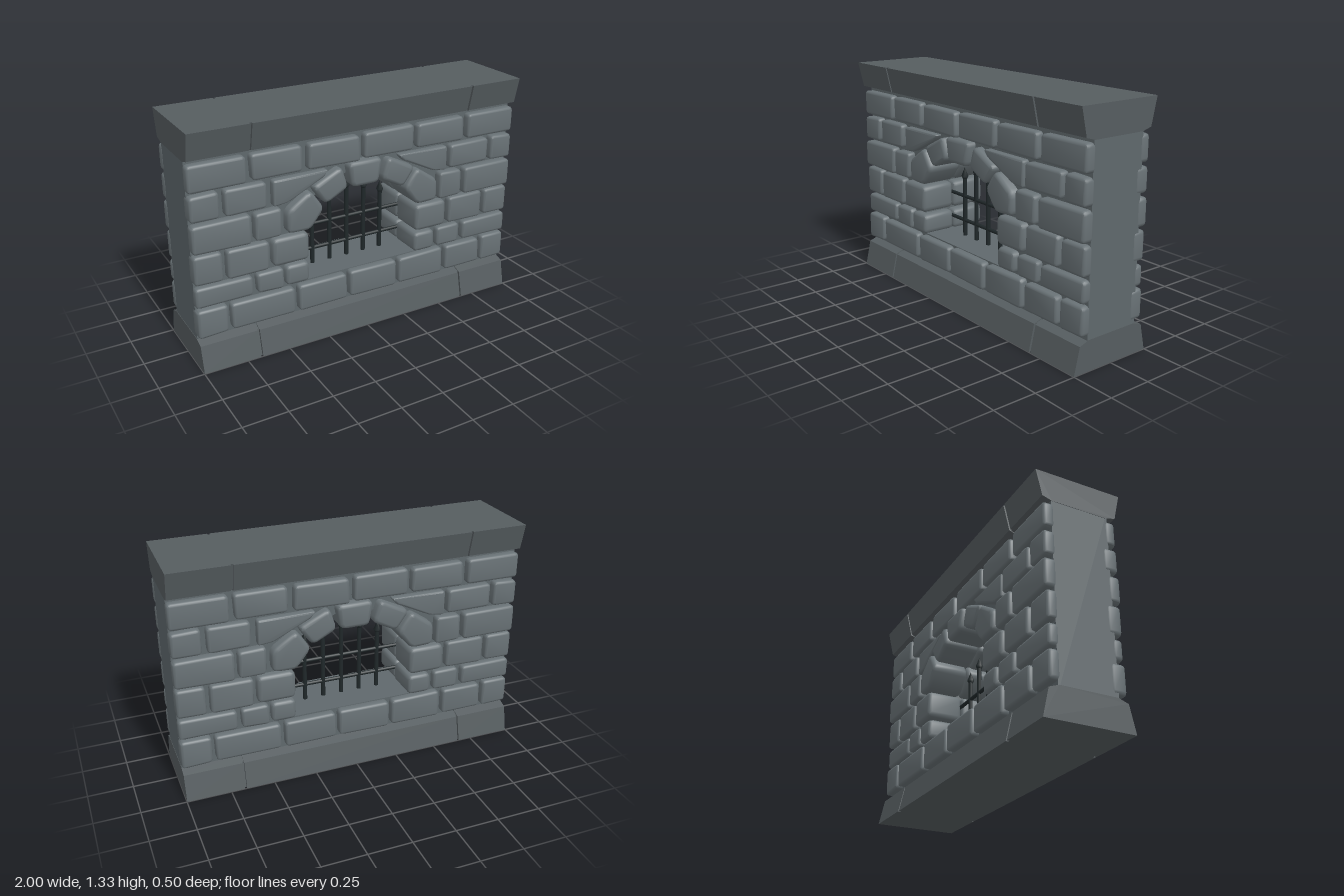
import * as THREE from 'three';
import { toCreasedNormals } from 'three/addons/utils/BufferGeometryUtils.js';

const material = (color) => new THREE.MeshStandardMaterial({ color });
const stoneMat = material(0x697276);
const wallMat = material(0x5f686c);
const trimMat = material(0x565d60);
const ironMat = material(0x20282a);

// Small seeded generator for the hand-cut look
function makeRandom(seed) {
  return () => {
    seed = (seed * 16807) % 2147483647;
    return seed / 2147483647 - 0.5;
  };
}

// Polygon outline with softened corners
function roundedShape(points, radius) {
  const pts = points.map(([x, y]) => new THREE.Vector2(x, y));
  const shape = new THREE.Shape();
  pts.forEach((p, i) => {
    const prev = pts[(i + pts.length - 1) % pts.length];
    const next = pts[(i + 1) % pts.length];
    const toward = (q) => p.clone().lerp(q, Math.min(0.4, radius / p.distanceTo(q)));
    const a = toward(prev), b = toward(next);
    if (i === 0) shape.moveTo(a.x, a.y);
    else shape.lineTo(a.x, a.y);
    shape.quadraticCurveTo(p.x, p.y, b.x, b.y);
  });
  shape.closePath();
  return shape;
}

// Stone block with bevelled edges, running from zBack to zFront
function stone(name, points, zBack, zFront, bevel = 0.014) {
  const geo = new THREE.ExtrudeGeometry(roundedShape(points, bevel * 1.6), {
    depth: zFront - zBack - 2 * bevel,
    bevelThickness: bevel, bevelSize: bevel, bevelOffset: -bevel,
    bevelSegments: 2, curveSegments: 3,
  });
  geo.translate(0, 0, zBack + bevel);
  const mesh = new THREE.Mesh(toCreasedNormals(geo, 0.85), stoneMat);
  mesh.name = name;
  return mesh;
}

// Courses of brick: bottom, top, face depth, then [left, right] of each brick
const COURSES = [
  [0.19, 0.347, 0.21, [[-1, -0.83], [-0.81, -0.435], [-0.41, -0.11], [-0.09, 0.215], [0.24, 0.54], [0.565, 0.815], [0.835, 1]]],
  [0.365, 0.48, 0.207, [[-1, -0.675], [-0.655, -0.5], [0.505, 0.66], [0.685, 1]]],
  [0.5, 0.66, 0.21, [[-1, -0.84], [-0.815, -0.58], [0.575, 0.81], [0.835, 1]]],
  [0.675, 0.833, 0.22, [[-1, -0.675], [-0.655, -0.505], [0.495, 0.65], [0.675, 1]]],
  [0.85, 0.992, 0.212, [[-1, -0.84], [-0.815, -0.58], [0.565, 0.83], [0.855, 1]]],
  [1.01, 1.153, 0.21, [[-1, -0.685], [-0.66, -0.37], [-0.34, -0.03], [0, 0.31], [0.335, 0.65], [0.68, 1]]],
];

function stoneFace() {
  const face = new THREE.Group();
  const random = makeRandom(41);
  COURSES.forEach(([y0, y1, z, spans]) => {
    spans.forEach(([x0, x1]) => {
      const corners = [[x0, y0], [x1, y0], [x1, y1], [x0, y1]].map(([x, y]) => [
        Math.abs(x) === 1 ? x : x + random() * 0.008,
        y + random() * 0.008,
      ]);
      // Short bricks at the left end reach around the corner
      const corner = x0 === -1 && x1 < -0.8;
      face.add(stone('brick', corners, corner ? 0.13 : 0.15, z + random() * 0.006));
    });
  });

  // Jamb stones beside the opening
  const box = (x0, x1, y0, y1) => [[x0, y0], [x1, y0], [x1, y1], [x0, y1]];
  face.add(
    stone('jambStone', box(-0.56, -0.345, 0.5, 0.66), 0.002, 0.213, 0.02),
    stone('jambStone', box(0.34, 0.55, 0.5, 0.66), 0.002, 0.213, 0.02),
    stone('jambStone', box(-0.485, -0.345, 0.365, 0.482), 0.002, 0.208, 0.018),
    stone('jambStone', box(0.34, 0.478, 0.365, 0.482), 0.002, 0.208, 0.018),
  );

  // Arch stones and the cut bricks above them, mirrored about the keystone
  const lower = [[0.34, 0.675], [0.475, 0.68], [0.475, 0.805], [0.335, 0.9], [0.255, 0.785]];
  const upper = [[0.245, 0.8], [0.325, 0.91], [0.145, 0.998], [0.105, 0.872]];
  const cut = [[0.22, 0.992], [0.545, 0.99], [0.545, 0.845], [0.46, 0.855], [0.25, 0.955]];
  for (const side of [-1, 1]) {
    const flip = (pts) => pts.map(([x, y]) => [x * side, y]);
    face.add(stone('archStone', flip(lower), 0.002, 0.224, 0.02));
    face.add(stone('archStone', flip(upper), 0.002, 0.22, 0.02));
    face.add(stone('cutBrick', flip(cut), 0.15, 0.207, 0.01));
  }
  face.add(stone('keystone', [[-0.085, 0.865], [0.082, 0.865], [0.105, 1.008], [-0.108, 1.008]], 0.002, 0.224, 0.02));
  return face;
}

// Wall core pierced by the window opening
function wallCore() {
  const shape = new THREE.Shape([[-0.997, 0.135], [0.997, 0.135], [0.997, 1.2], [-0.997, 1.2]]
    .map(([x, y]) => new THREE.Vector2(x, y)));
  shape.holes.push(new THREE.Path([[-0.4, 0.352], [-0.4, 0.7], [-0.3, 0.84], [-0.1, 0.94],
    [0.1, 0.94], [0.3, 0.84], [0.4, 0.7], [0.4, 0.352]].map(([x, y]) => new THREE.Vector2(x, y))));
  const geo = new THREE.ExtrudeGeometry(shape, { depth: 0.33, bevelEnabled: false });
  geo.translate(0, 0, -0.165);
  const mesh = new THREE.Mesh(geo, wallMat);
  mesh.name = 'wallCore';
  return mesh;
}

// Sloped trim: half profile [z, y] swept along x, in three blocks with narrow grooves
function trim(name, half) {
  const group = new THREE.Group();
  group.name = name;
  const piece = (x0, x1, inset) => {
    const right = half.map(([z, y]) => new THREE.Vector2(z - inset, y));
    const left = right.map((p) => new THREE.Vector2(-p.x, p.y)).reverse();
    const geo = new THREE.ExtrudeGeometry(new THREE.Shape([...right, ...left]), { depth: x1 - x0, bevelEnabled: false });
    geo.rotateY(Math.PI / 2).translate(x0, 0, 0);
    const mesh = new THREE.Mesh(geo, trimMat);
    mesh.name = inset ? 'trimGroove' : 'trimBlock';
    group.add(mesh);
  };
  piece(-0.999, -0.673, 0);
  piece(-0.661, 0.661, 0);
  piece(0.673, 0.999, 0);
  piece(-0.673, -0.661, 0.014);
  piece(0.661, 0.673, 0.014);
  return group;
}

// Iron window grille with spear-tipped uprights
function grille() {
  const group = new THREE.Group();
  group.name = 'grille';
  const add = (name, geo) => {
    const mesh = new THREE.Mesh(geo, ironMat);
    mesh.name = name;
    group.add(mesh);
  };
  [0.775, 0.822, 0.848, 0.822, 0.775].forEach((top, i) => {
    const x = (i - 2) * 0.112;
    const length = top - 0.06 - 0.33;
    add('uprightBar', new THREE.CylinderGeometry(0.013, 0.013, length, 8).translate(x, 0.33 + length / 2, 0));
    add('spearTip', new THREE.LatheGeometry([[0, -0.075], [0.012, -0.072], [0.021, -0.055], [0, 0]]
      .map(([r, y]) => new THREE.Vector2(r, y)), 8).translate(x, top, 0));
  });
  for (const y of [0.447, 0.597]) {
    add('crossBar', new THREE.CylinderGeometry(0.011, 0.011, 0.86, 8).rotateZ(Math.PI / 2).translate(0, y, 0));
  }
  return group;
}

export function createModel() {
  const model = new THREE.Group();
  model.name = 'stoneWallWithWindow';
  const front = stoneFace();
  front.name = 'frontStones';
  const back = stoneFace();
  back.name = 'backStones';
  back.rotation.y = Math.PI;
  model.add(
    wallCore(), front, back, grille(),
    trim('baseTrim', [[0.25, 0], [0.216, 0.15], [0.16, 0.17]]),
    trim('topTrim', [[0.16, 1.168], [0.216, 1.184], [0.25, 1.333]]),
  );
  return model;
}
